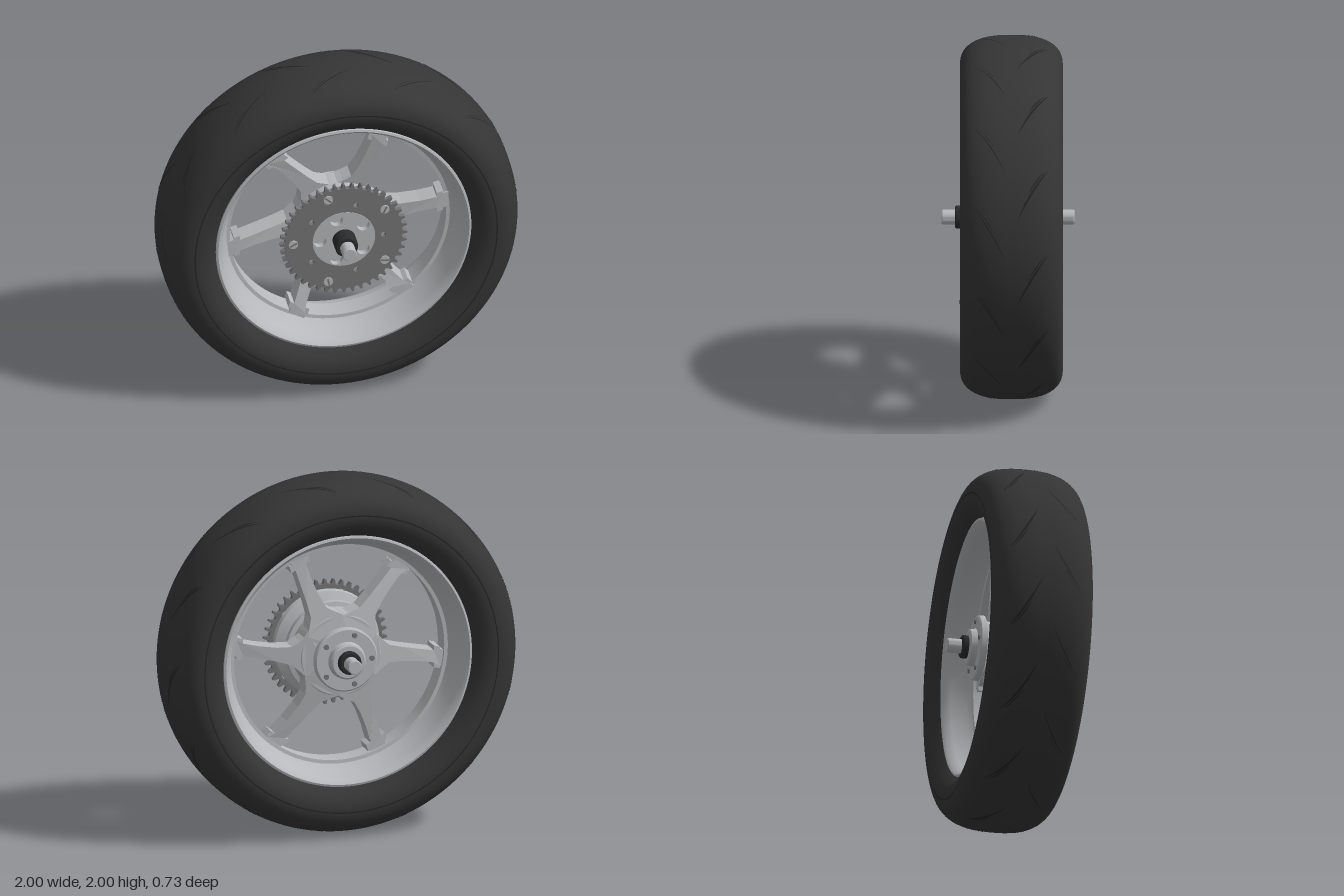
import * as THREE from 'three';
import { toCreasedNormals } from 'three/addons/utils/BufferGeometryUtils.js';

const material = (name, color, side = THREE.FrontSide) => {
  const m = new THREE.MeshStandardMaterial({ color, side });
  m.name = name;
  return m;
};

// tyre cross-section: crown radius at axial position z
const MID = -0.0185, HALF = 0.2825;
const crown = z => {
  const t = Math.min(1, Math.abs(z - MID) / HALF);
  return 0.83 + 0.17 * Math.pow(1 - Math.pow(t, 2.5), 0.4);
};

export function createModel() {
  const rubber = material('rubber', 0x353535);
  const groove = material('grooveBlack', 0x242424, THREE.DoubleSide);
  const silver = material('silverAlloy', 0xb6b8bb);
  const steel = material('darkSteel', 0x757577);
  const black = material('blackSeal', 0x2a2b2c);

  const root = new THREE.Group();
  root.name = 'wheel';
  const wheel = new THREE.Group();
  wheel.name = 'wheelAssembly';
  wheel.position.y = 1;
  root.add(wheel);

  const add = (name, geometry, mat, parent = wheel) => {
    const mesh = new THREE.Mesh(geometry, mat);
    mesh.name = name;
    parent.add(mesh);
    return mesh;
  };
  // surface of revolution about z from [radius, z] pairs
  const turned = (name, profile, mat, segments = 64, crease = 0.5) => {
    const g = new THREE.LatheGeometry(profile.map(p => new THREE.Vector2(...p)), segments).rotateX(Math.PI / 2);
    return add(name, toCreasedNormals(g, crease), mat);
  };
  const disc = (name, r, z0, z1, mat, x = 0, y = 0, segments = 32) => {
    const mesh = add(name, new THREE.CylinderGeometry(r, r, z1 - z0, segments).rotateX(Math.PI / 2), mat);
    mesh.position.set(x, y, (z0 + z1) / 2);
    return mesh;
  };
  const polar = (r, a) => [r * Math.cos(a), r * Math.sin(a)];
  const hole = (shape, r, ring, a) =>
    shape.holes.push(new THREE.Path().absarc(...polar(ring, a), r, 0, Math.PI * 2, true));
  const plate = (shape, z0, z1) =>
    new THREE.ExtrudeGeometry(shape, { depth: z1 - z0, bevelEnabled: false, curveSegments: 24 }).translate(0, 0, z0);

  // tyre
  const side = [[0.70, 0.19], [0.722, 0.215], [0.75, 0.25], [0.78, 0.27], [0.81, 0.28]];
  const tyre = side.map(([r, w]) => [r, MID - w]);
  for (let i = 0; i <= 40; i++) {
    const z = MID - HALF * Math.cos(Math.PI * i / 40);
    tyre.push([crown(z), z]);
  }
  side.slice().reverse().forEach(([r, w]) => tyre.push([r, MID + w]));
  turned('tyre', tyre, rubber, 128, 0.7);

  // fine moulded ring on each sidewall
  for (const s of [-1, 1]) {
    const ring = add('sidewallRing', new THREE.RingGeometry(0.842, 0.849, 128), groove);
    ring.position.z = MID + s * (HALF + 0.001);
  }

  // tread cuts: tapered strips that hug the crown
  const treadCut = (a0, a1, z0, z1, width) => {
    const pos = [], idx = [], n = 12;
    for (let i = 0; i <= n; i++) {
      const t = i / n;
      const a = a0 + (a1 - a0) * t, w = width * Math.sin(Math.PI * (0.06 + 0.9 * t));
      const zc = z0 + (z1 - z0) * (t + 0.25 * t * (1 - t));
      for (const s of [-0.5, 0.5]) {
        const z = zc + s * w, r = crown(z) + 0.002;
        pos.push(...polar(r, a + s * w * 0.6), z);
      }
      if (i < n) idx.push(2 * i, 2 * i + 1, 2 * i + 2, 2 * i + 1, 2 * i + 3, 2 * i + 2);
    }
    const g = new THREE.BufferGeometry();
    g.setAttribute('position', new THREE.Float32BufferAttribute(pos, 3));
    g.setIndex(idx);
    g.computeVertexNormals();
    return g;
  };
  const deg = Math.PI / 180, cuts = 13;
  for (let i = 0; i < cuts; i++) {
    for (const [phase, z0, z1] of [[46, 0.185, 0.02], [31, -0.22, -0.055]]) {
      const a = phase * deg + i * Math.PI * 2 / cuts;
      add('treadCut', treadCut(a, a - 16 * deg, z0, z1, 0.011), groove);
      add('treadCutShort', treadCut(a - 0.5 * deg, a - 8 * deg, z0 - (z0 - z1) * 0.12, z0 - (z0 - z1) * 0.66, 0.007), groove);
    }
  }

  // rim: closed section with a lip, sloping barrel and central rib on both sides
  const lip = [[0.716, 0.2], [0.714, 0.217], [0.702, 0.221], [0.685, 0.205], [0.672, 0.17], [0.648, 0.09], [0.625, 0.06], [0.605, 0.058]];
  const rim = [...lip.map(([r, w]) => [r, MID + w]), ...lip.slice().reverse().map(([r, w]) => [r, MID - w])];
  turned('rim', [...rim, rim[0]], silver, 128, 0.6);

  // six swept spokes with wide roots and stepped heads
  const edge = [[0.1, 0.09], [0.2, 0.115], [0.235, 0.085], [0.28, 0.052], [0.36, 0.04], [0.46, 0.035],
    [0.55, 0.035], [0.55, 0.062], [0.585, 0.062], [0.585, 0.048], [0.615, 0.048]];
  const outline = [...edge.map(([x, w]) => [x, -w]), ...edge.slice().reverse()];
  const spokeGeo = plate(new THREE.Shape(outline.map(p => new THREE.Vector2(...p))), -0.06, 0.05);
  const p = spokeGeo.attributes.position;
  for (let i = 0; i < p.count; i++) {
    const x = p.getX(i);
    p.setY(i, p.getY(i) + 0.225 * x * x);
    p.setZ(i, p.getZ(i) - 0.08 * Math.max(0, 1 - x / 0.55));
  }
  spokeGeo.computeVertexNormals();
  for (let i = 0; i < 6; i++) add('spoke', spokeGeo, silver).rotation.z = i * Math.PI / 3;

  // hub drum and sprocket carrier
  turned('hubDrum', [[0, -0.11], [0.225, -0.11], [0.24, -0.1], [0.24, 0.035], [0.265, 0.04], [0.265, 0.075],
    [0.235, 0.085], [0.235, 0.11], [0.3, 0.14], [0.305, 0.168], [0, 0.168]], silver);

  // rear flange with stepped boss
  turned('rearFlange', [[0, -0.25], [0.09, -0.25], [0.1, -0.243], [0.105, -0.21], [0.172, -0.21], [0.18, -0.203],
    [0.18, -0.172], [0.15, -0.16], [0.15, -0.1]], silver);

  // sprocket
  const teeth = 44, step = Math.PI * 2 / teeth, toothed = [];
  for (let i = 0; i < teeth; i++)
    for (const [r, f] of [[0.326, -0.5], [0.33, -0.27], [0.356, -0.1], [0.356, 0.1], [0.33, 0.27]])
      toothed.push(new THREE.Vector2(...polar(r, (i + f) * step)));
  const sprocket = new THREE.Shape(toothed);
  hole(sprocket, 0.174, 0, 0);
  const carrier = new THREE.Shape().absarc(0, 0, 0.175, 0, Math.PI * 2);
  for (let i = 0; i < 5; i++) {
    const a = (36 + 72 * i) * deg;
    hole(sprocket, 0.014, 0.222, a + 36 * deg);
    hole(carrier, 0.035, 0.134, a);
    // sprocket bolts with a slotted head, and rear flange bolts
    const [x, y] = polar(0.283, a);
    disc('sprocketBolt', 0.026, 0.16, 0.207, silver, x, y, 20);
    const slot = add('boltSlot', new THREE.BoxGeometry(0.044, 0.008, 0.004), steel);
    slot.position.set(x, y, 0.208);
    slot.rotation.z = a + 0.5;
    disc('flangeBolt', 0.015, -0.217, -0.2, steel, ...polar(0.145, a), 12);
  }
  add('sprocket', toCreasedNormals(plate(sprocket, 0.172, 0.2), 0.5), steel);
  add('carrierFace', toCreasedNormals(plate(carrier, 0.165, 0.203), 0.5), silver);

  // axle and bearing seals
  turned('axle', [[0, -0.365], [0.036, -0.365], [0.04, -0.36], [0.04, 0.36], [0.036, 0.365], [0, 0.365]], silver, 32);
  turned('frontSeal', [[0.064, 0.2], [0.064, 0.282], [0.057, 0.29], [0.038, 0.29]], black, 40);
  turned('rearSeal', [[0.038, -0.285], [0.057, -0.285], [0.064, -0.278], [0.064, -0.245]], black, 40);

  return root;
}
